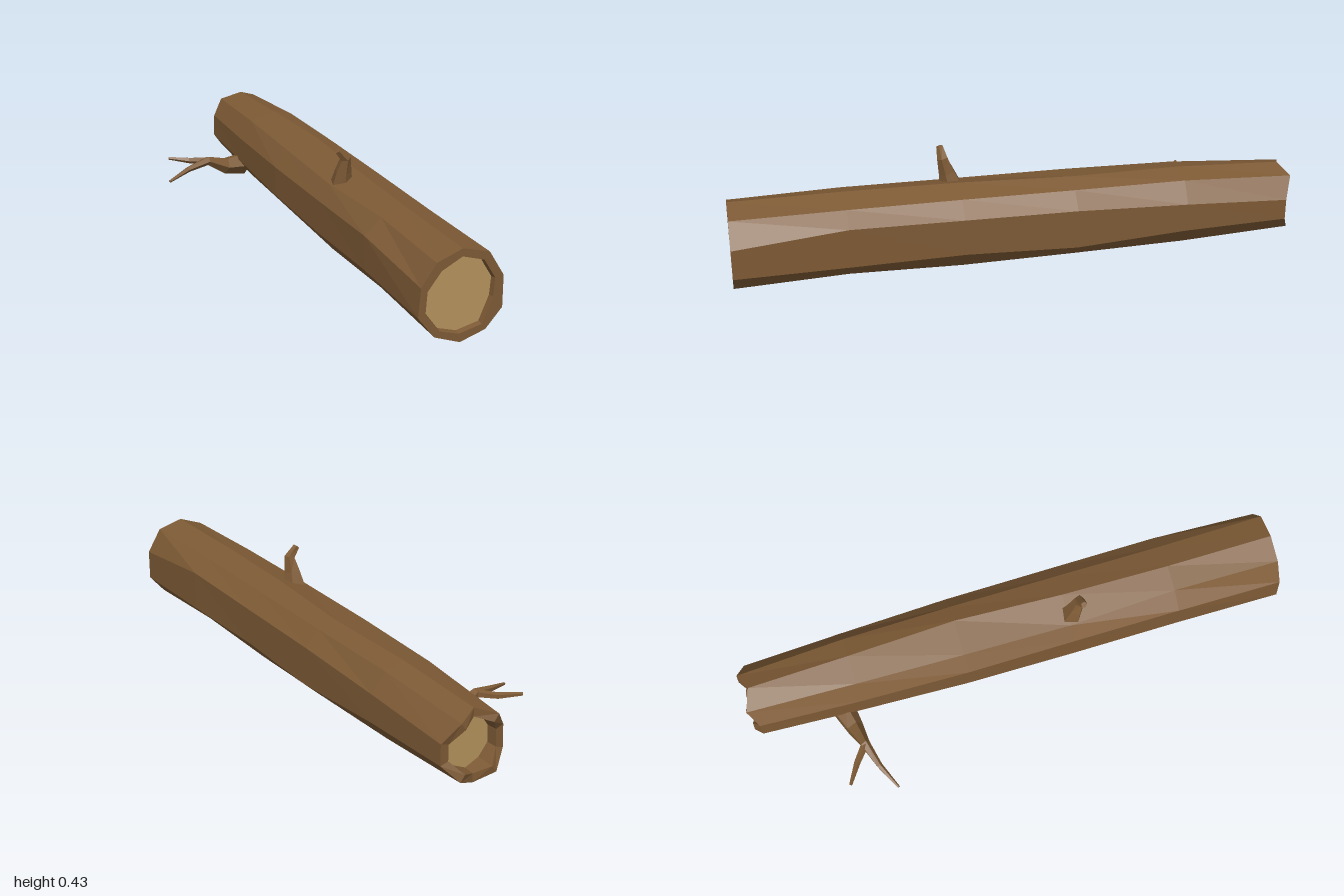
import * as THREE from 'three';

const bark = new THREE.MeshStandardMaterial({ color: 0x7d5a35 });
bark.name = 'bark';
const wood = new THREE.MeshStandardMaterial({ color: 0xb3925c });
wood.name = 'cut wood';

const V = (x, y, z) => new THREE.Vector3(x, y, z);

function meshFrom(name, points, material) {
  const geometry = new THREE.BufferGeometry().setFromPoints(points);
  geometry.computeVertexNormals(); // unshared corners give flat facets
  const mesh = new THREE.Mesh(geometry, material);
  mesh.name = name;
  return mesh;
}

// Skin between consecutive rings of equal point count
function loft(rings) {
  const out = [];
  for (let k = 0; k < rings.length - 1; k++) {
    const n = rings[k].length;
    for (let i = 0; i < n; i++) {
      const j = (i + 1) % n;
      const a = rings[k][i], b = rings[k][j], c = rings[k + 1][j], d = rings[k + 1][i];
      out.push(a, d, b, b, d, c);
    }
  }
  return out;
}

// Fan closing a ring
function fan(ring, reverse = false) {
  const centre = ring.reduce((s, p) => s.add(p), V(0, 0, 0)).divideScalar(ring.length);
  return ring.flatMap((p, i) => {
    const q = ring[(i + 1) % ring.length];
    return reverse ? [centre, q, p] : [centre, p, q];
  });
}

// Tapering twig through [x, y, z, radius] stations
function twig(name, stations, sides = 5) {
  const pts = stations.map(s => V(s[0], s[1], s[2]));
  const rings = pts.map((p, k) => {
    const t = pts[Math.min(k + 1, pts.length - 1)].clone().sub(pts[Math.max(k - 1, 0)]).normalize();
    const u = V(0, 0, 1).addScaledVector(t, -t.z).normalize();
    const v = u.clone().cross(t);
    return Array.from({ length: sides }, (_, i) => {
      const a = (i / sides) * Math.PI * 2;
      return p.clone().addScaledVector(u, Math.cos(a) * stations[k][3])
        .addScaledVector(v, Math.sin(a) * stations[k][3]);
    });
  });
  return meshFrom(name, [...loft(rings), ...fan(rings.at(-1), true)], bark);
}

export function createModel() {
  const log = new THREE.Group();
  log.name = 'log';

  // Ten-sided trunk sections, counter-clockwise from the top
  const ring = (z, xy) => xy.map(([x, y]) => V(x, y, z));
  const front = ring(1, [[.15, .322], [.06, .287], [.008, .21], [0, .11], [.06, .035],
    [.15, .003], [.24, .033], [.298, .1], [.298, .21], [.245, .297]]);
  const frontInner = ring(1, [[.15, .295], [.078, .257], [.031, .194], [.026, .12], [.076, .053],
    [.145, .033], [.227, .053], [.263, .14], [.268, .205], [.227, .272]]);
  const sections = [
    ring(.6, [[.148, .323], [.06, .297], [0, .24], [0, .12], [.065, .045],
      [.15, .016], [.235, .046], [.298, .105], [.298, .25], [.24, .297]]),
    ring(.2, [[.155, .322], [.045, .287], [.003, .23], [.002, .11], [.065, .035],
      [.15, .02], [.23, .035], [.295, .11], [.297, .245], [.24, .297]]),
    ring(-.2, [[.175, .318], [.05, .288], [.003, .225], [.003, .115], [.07, .04],
      [.15, .02], [.23, .04], [.292, .095], [.295, .24], [.24, .295]]),
    ring(-.6, [[.16, .312], [.06, .285], [.016, .215], [.016, .12], [.07, .05],
      [.15, .02], [.225, .045], [.286, .118], [.287, .222], [.235, .292]]),
  ];
  // Ragged far end
  const back = ring(-.97, [[.155, .294], [.078, .265], [.036, .205], [.034, .122], [.08, .062],
    [.15, .03], [.22, .062], [.278, .124], [.278, .2], [.222, .268]]);
  [1, 4, 6, 9].forEach(i => { back[i].z = -1; });
  const shrink = (r, s, dz) => r.map(p => V(.153 + (p.x - .153) * s, .163 + (p.y - .163) * s, p.z + dz));
  const backInner = shrink(back, .76, 0);

  // Recessed cut faces
  const frontCut = shrink(frontInner, .97, -.02);
  const backCut = shrink(backInner, .97, 0).map(p => V(p.x, p.y, -.93));

  log.add(meshFrom('trunk', loft([frontCut, frontInner, front, ...sections, back, backInner, backCut]), bark));
  log.add(meshFrom('frontCutFace', fan(frontCut), wood));
  log.add(meshFrom('backCutFace', fan(backCut, true), wood));

  // Short stub on top
  log.add(twig('topStub', [[.088, .27, .21, .045], [.087, .335, .228, .03], [.09, .388, .243, .02], [.057, .422, .248, .012]]));

  // Forked branch on the side
  const branch = new THREE.Group();
  branch.name = 'sideBranch';
  branch.add(twig('branchStem', [[.05, .09, -.67, .045], [-.035, .097, -.648, .033],
    [-.115, .133, -.628, .018], [-.205, .117, -.6, .011], [-.297, .093, -.555, .005]]));
  branch.add(twig('branchFork', [[-.115, .133, -.628, .015], [-.175, .127, -.675, .012], [-.248, .132, -.718, .006]]));
  log.add(branch);

  return log;
}
